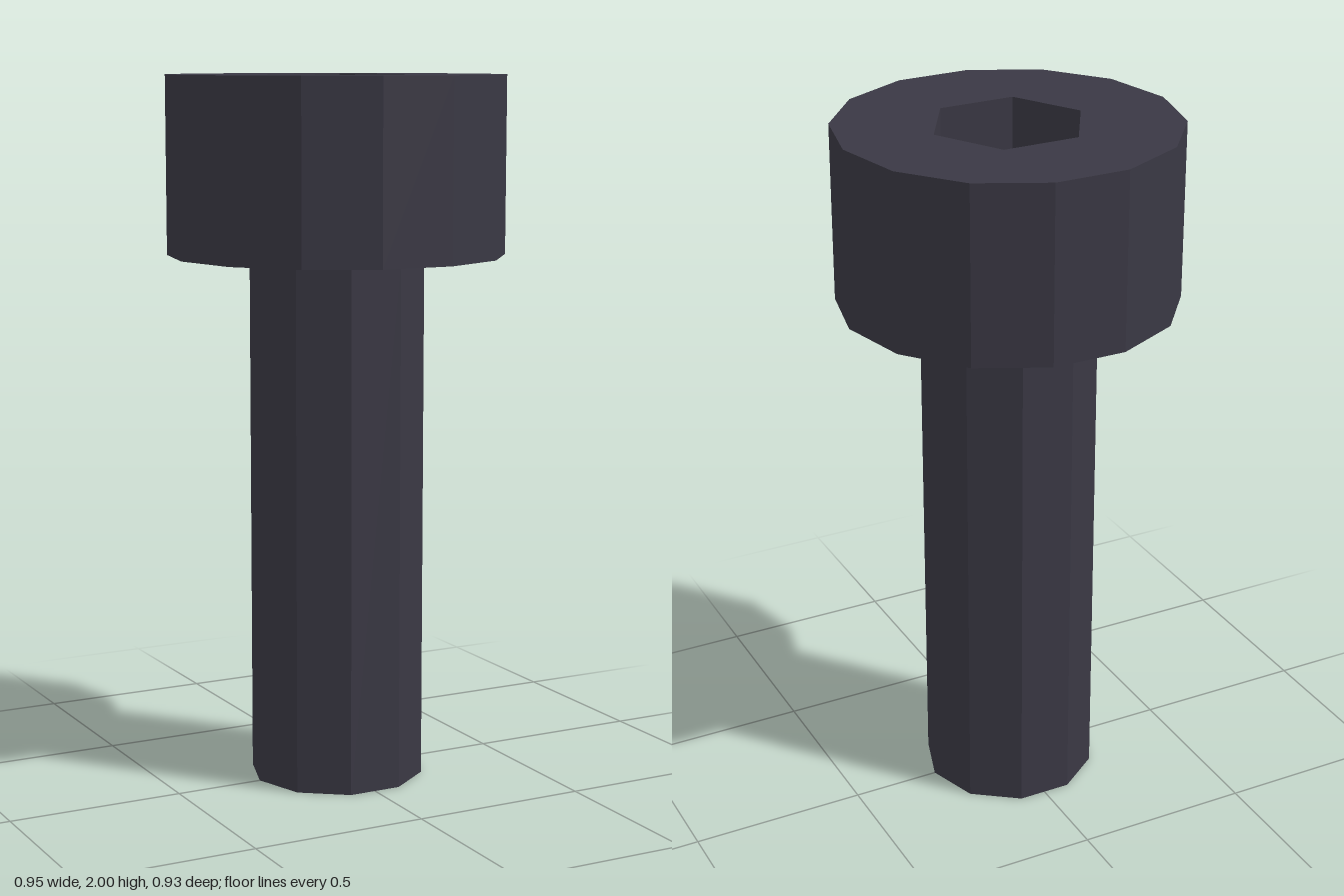
import * as THREE from 'three';

const HEAD = { sides: 14, radius: 0.475 };
const SHAFT = { sides: 10, radius: 0.248 };
const SOCKET = { sides: 6, radius: 0.218 };
const TOP = 2, HEAD_BASE = 1.5, SOCKET_FLOOR = 1.75;

// Corner points of a regular polygon with one corner on +x
function corners({ sides, radius }) {
  return Array.from({ length: sides }, (_, i) => {
    const a = (i / sides) * Math.PI * 2;
    return new THREE.Vector2(Math.cos(a) * radius, Math.sin(a) * radius);
  });
}

// Flat horizontal face, optionally with a polygonal hole, facing up or down
function face(outer, y, up, hole) {
  const shape = new THREE.Shape(corners(outer));
  if (hole) shape.holes.push(new THREE.Path(corners(hole)));
  return new THREE.ShapeGeometry(shape).rotateX(up ? -Math.PI / 2 : Math.PI / 2).translate(0, y, 0);
}

// Ring of flat side walls, facing outward or inward
function walls({ sides, radius }, y0, y1, inward = false) {
  const ring = new THREE.CylinderGeometry(radius, radius, y1 - y0, sides, 1, true, Math.PI / 2);
  if (inward) ring.index.array.reverse();
  const geometry = ring.toNonIndexed().translate(0, (y0 + y1) / 2, 0);
  geometry.computeVertexNormals();
  return geometry;
}

export function createModel() {
  const steel = new THREE.MeshStandardMaterial({ color: 0x3a3844, flatShading: true });
  steel.name = 'blackened steel';

  const model = new THREE.Group();
  model.name = 'socketHeadBolt';
  const part = (name, pieces) => {
    const group = new THREE.Group();
    group.name = name;
    for (const [pieceName, geometry] of Object.entries(pieces)) {
      const mesh = new THREE.Mesh(geometry, steel);
      mesh.name = pieceName;
      group.add(mesh);
    }
    model.add(group);
  };

  // Wide head with a hexagonal opening on top
  part('head', {
    headSide: walls(HEAD, HEAD_BASE, TOP),
    headTop: face(HEAD, TOP, true, SOCKET),
    headUnderside: face(HEAD, HEAD_BASE, false, SHAFT),
  });

  // Recessed hex key socket
  part('socket', {
    socketWalls: walls(SOCKET, SOCKET_FLOOR, TOP, true),
    socketFloor: face(SOCKET, SOCKET_FLOOR, true),
  });

  // Straight shaft down to the ground
  part('shaft', {
    shaftSide: walls(SHAFT, 0, HEAD_BASE),
    shaftEnd: face(SHAFT, 0, false),
  });

  return model;
}
